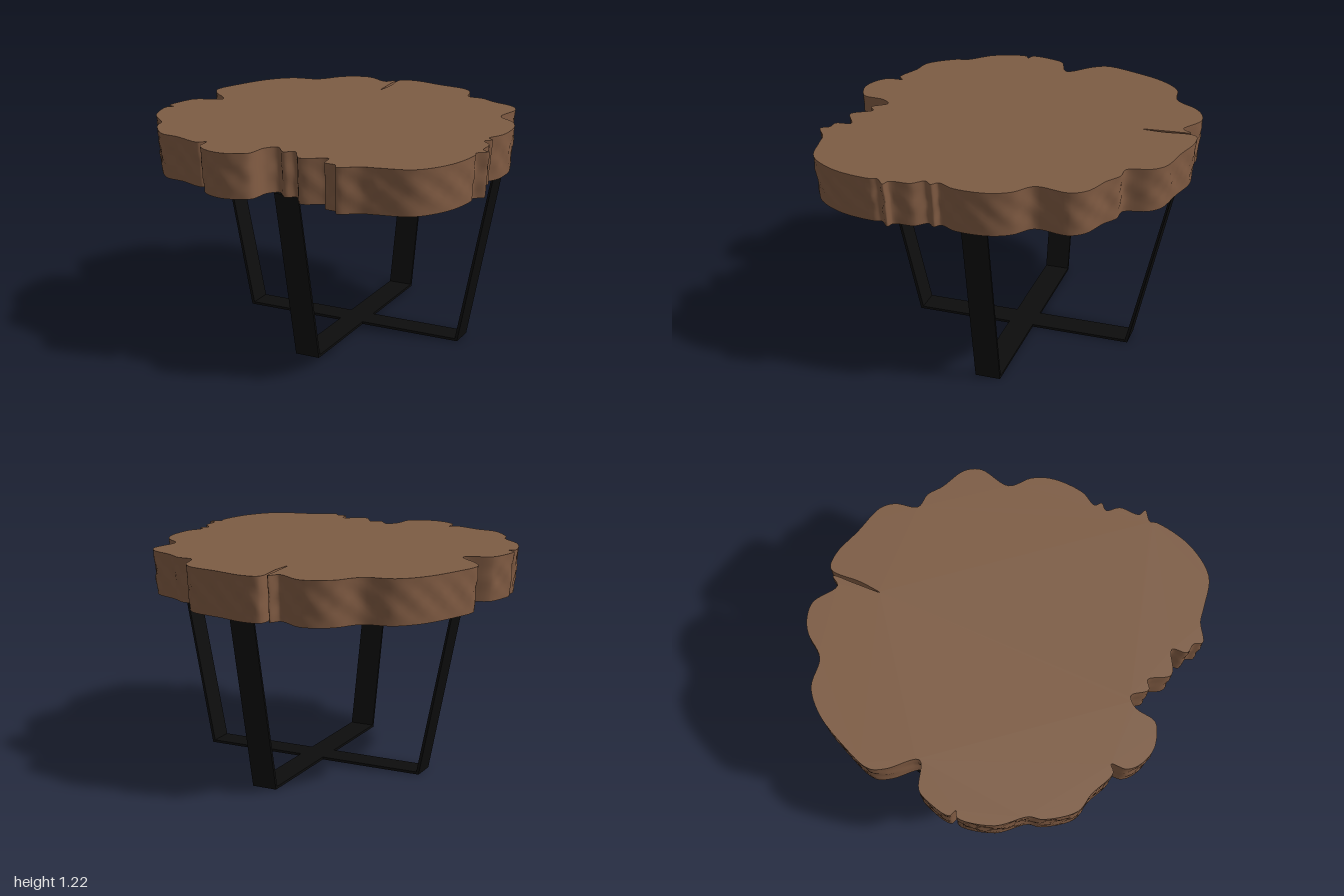
import * as THREE from 'three';

// Slab rim as x, z pairs in hundredths, clockwise from the back
const RIM = [
  -9, -98, 0, -100, 17, -96, 35, -92, 41, -86, 45, -74, 54, -73, 62, -68, 76, -62, 81, -54,
  79, -36, 89, -27, 94, -16, 94, 2, 90, 11, 93, 14, 90, 18, 95, 24, 96, 35, 100, 37,
  95, 42, 96, 46, 92, 67, 80, 84, 63, 89, 54, 91, 44, 97, 41, 93, 35, 92, 33, 84,
  20, 90, 12, 80, 7, 83, 0, 76, -5, 81, -7, 93, -13, 97, -22, 99, -32, 96, -37, 91,
  -38, 83, -42, 86, -57, 81, -68, 79, -80, 65, -82, 58, -94, 45, -99, 26, -96, 24, -100, 22,
  -98, 8, -95, 2, -81, -5, -93, -18, -97, -26, -92, -44, -83, -63, -72, -74, -56, -78, -47, -90,
  -40, -95, -30, -97, -16, -90, -12, -95, -10.5, -83, -9, -68, -8.3, -80,
];
const TOP = 1.225, BOTTOM = 0.98, TAPER = 0.98;

function rimPoints() {
  const pts = [];
  for (let i = 0; i < RIM.length; i += 2) pts.push(new THREE.Vector3(RIM[i] / 100, 0, RIM[i + 1] / 100));
  const curve = new THREE.CatmullRomCurve3(pts, true, 'centripetal');
  const n = pts.length * 6;
  return Array.from({ length: n }, (_, i) => curve.getPoint(i / n));
}

// Bark wall: rows of the rim, tapering downward with a slight ripple
function barkGeometry(rim) {
  const rows = 10, n = rim.length, pos = [], idx = [];
  for (let r = 0; r <= rows; r++) {
    const t = r / rows;
    for (let i = 0; i < n; i++) {
      const p = rim[i], a = Math.atan2(p.z, p.x);
      const ripple = 0.003 * Math.sin(Math.PI * t) * (Math.sin(a * 37 + t * 9) + Math.sin(a * 61 - t * 14));
      const s = 1 + (TAPER - 1) * t + ripple;
      pos.push(p.x * s, TOP + (BOTTOM - TOP) * t, p.z * s);
      if (r < rows) {
        const j = (i + 1) % n, a0 = r * n + i, a1 = r * n + j;
        idx.push(a0, a1, a0 + n, a1, a1 + n, a0 + n);
      }
    }
  }
  const g = new THREE.BufferGeometry();
  g.setAttribute('position', new THREE.Float32BufferAttribute(pos, 3));
  g.setIndex(idx);
  g.computeVertexNormals();
  return g;
}

// Flat cap; side is 1 for facing up, -1 for facing down
function capGeometry(rim, side, scale, y) {
  const shape = new THREE.Shape(rim.map(p => new THREE.Vector2(p.x * scale, -side * p.z * scale)));
  return new THREE.ShapeGeometry(shape).rotateX(-side * Math.PI / 2).translate(0, y, 0);
}

// Closed trapezoid loop of thin flat bar, extruded along +z
function frameGeometry(topL, topR, botL, botR, width) {
  const t = 0.014, y0 = 0.003, y1 = 0.98;
  const outline = (d) => [[botL + d, y0 + d], [botR - d, y0 + d], [topR - d, y1 - d], [topL + d, y1 - d]]
    .map(([x, y]) => new THREE.Vector2(x, y));
  const shape = new THREE.Shape(outline(0));
  shape.holes.push(new THREE.Path(outline(t).reverse()));
  return new THREE.ExtrudeGeometry(shape, { depth: width, bevelEnabled: false });
}

export function createModel() {
  const wood = new THREE.MeshStandardMaterial({ color: 0x7d5c44 });
  wood.name = 'cut wood';
  const bark = new THREE.MeshStandardMaterial({ color: 0x835d44, side: THREE.DoubleSide });
  bark.name = 'bark';
  const metal = new THREE.MeshStandardMaterial({ color: 0x0d0d0d });
  metal.name = 'black metal';

  const model = new THREE.Group();
  model.name = 'sideTable';
  const add = (parent, name, geometry, material) => {
    const mesh = new THREE.Mesh(geometry, material);
    mesh.name = name;
    parent.add(mesh);
  };

  // Tree-slice table top
  const slab = new THREE.Group();
  slab.name = 'slab';
  const rim = rimPoints();
  add(slab, 'slabTop', capGeometry(rim, 1, 1, TOP), wood);
  add(slab, 'slabUnderside', capGeometry(rim, -1, TAPER, BOTTOM), wood);
  add(slab, 'barkEdge', barkGeometry(rim), bark);

  // Two crossing leg frames
  const base = new THREE.Group();
  base.name = 'base';
  add(base, 'sidewaysLegFrame', frameGeometry(-0.8, 0.89, -0.61, 0.705, 0.14).translate(0, 0, -0.14), metal);
  add(base, 'lengthwiseLegFrame',
    frameGeometry(-0.92, 0.77, -0.7, 0.55, 0.14).rotateY(-Math.PI / 2).translate(0.12, 0, 0), metal);

  model.add(slab, base);
  return model;
}
